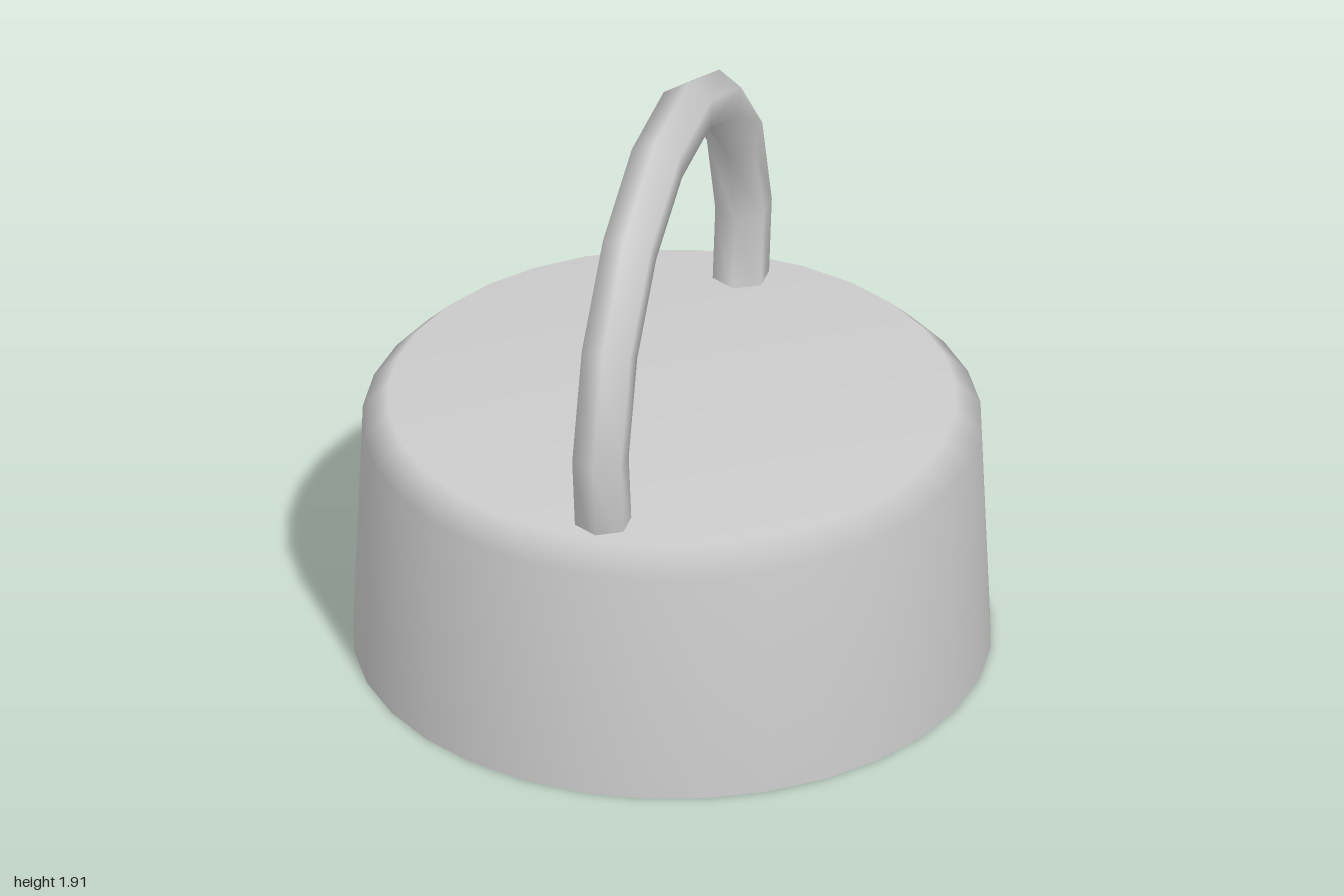
import * as THREE from 'three';

export function createModel() {
  const model = new THREE.Group();
  const material = new THREE.MeshStandardMaterial({ color: 0xcccccc, side: THREE.DoubleSide });

  // Hollow tapered cup, bevelled at the top and open underneath
  const profile = [[1, 0], [0.97, 0.78], [0.89, 0.86], [0, 0.86]]
    .map(([r, y]) => new THREE.Vector2(r, y));
  const cap = new THREE.Mesh(new THREE.LatheGeometry(profile, 32), material);
  cap.name = 'capBody';
  model.add(cap);

  // Six-sided loop handle whose ends pass through the top
  const halfArc = THREE.MathUtils.degToRad(109);
  const loop = new THREE.TorusGeometry(0.804, 0.091, 6, 9, halfArc * 2);
  loop.rotateZ(Math.PI / 2 - halfArc);
  loop.rotateY(Math.PI / 2);
  loop.translate(0, 1.03, 0);
  const handle = new THREE.Mesh(loop, material);
  handle.name = 'loopHandle';
  model.add(handle);

  return model;
}
